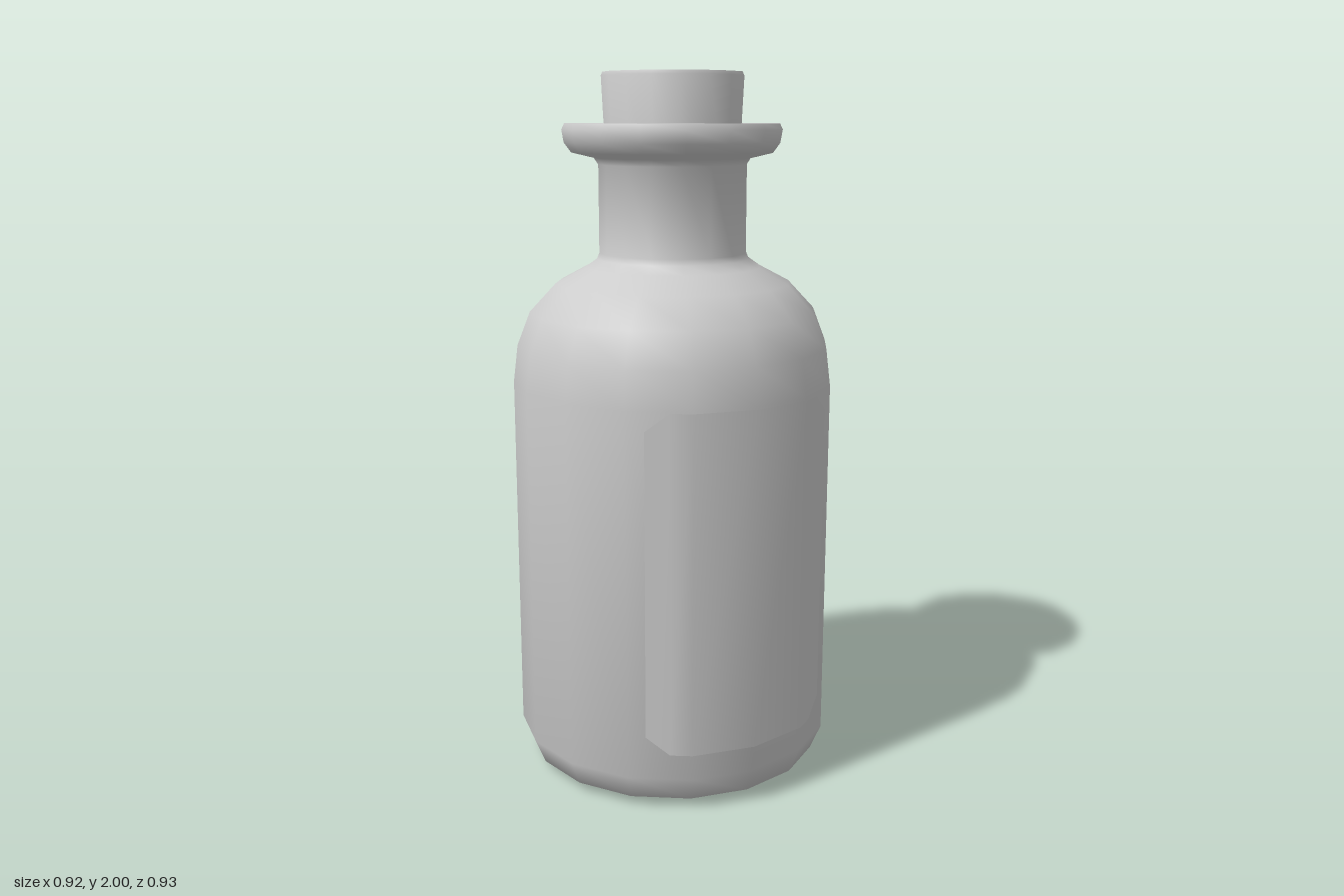
import * as THREE from 'three';
import { toCreasedNormals } from 'three/addons/utils/BufferGeometryUtils.js';

const SIDES = 16;

function lathe(name, profile, material) {
  const points = profile.map(([r, y]) => new THREE.Vector2(r, y));
  const mesh = new THREE.Mesh(toCreasedNormals(new THREE.LatheGeometry(points, SIDES), 0.9), material);
  mesh.name = name;
  return mesh;
}

// Thin sheet wrapped round the faceted front of the body, with clipped corners
function labelGeometry(bottom, top, clip) {
  const columns = [[-0.285, 0.358], [-0.23, 0.396], [-0.178, 0.43], [0, 0.465],
    [0.178, 0.43], [0.23, 0.396], [0.285, 0.358]];
  const positions = [], index = [];
  columns.forEach(([x, z], i) => {
    const inset = i === 0 || i === columns.length - 1 ? clip : 0;
    positions.push(x, bottom + inset, z, x, top - inset, z);
    if (i > 0) {
      const a = 2 * (i - 1);
      index.push(a, a + 2, a + 3, a, a + 3, a + 1);
    }
  });
  const geometry = new THREE.BufferGeometry();
  geometry.setAttribute('position', new THREE.Float32BufferAttribute(positions, 3));
  geometry.setIndex(index);
  geometry.computeVertexNormals();
  return geometry;
}

export function createModel() {
  const model = new THREE.Group();
  model.name = 'corkedBottle';
  const grey = new THREE.MeshStandardMaterial({ color: 0xcccccc });
  const thin = new THREE.MeshStandardMaterial({ color: 0xcccccc, side: THREE.DoubleSide });

  // Bottle: hollowed base, straight body, rounded shoulder, neck, flared lip and mouth
  model.add(lathe('bottle', [
    [0, 0.13], [0.17, 0.12], [0.28, 0.075], [0.325, 0.02], [0.36, 0],
    [0.43, 0.028], [0.46, 0.1], [0.46, 1.14], [0.447, 1.245], [0.41, 1.34],
    [0.335, 1.42], [0.25, 1.465], [0.217, 1.488], [0.21, 1.505],
    [0.21, 1.75], [0.222, 1.768], [0.285, 1.783], [0.305, 1.81],
    [0.311, 1.845], [0.303, 1.862], [0.2, 1.862], [0.195, 1.7],
  ], thin));

  // Cork, tapering into the mouth
  model.add(lathe('cork', [
    [0, 1.68], [0.185, 1.68], [0.2, 1.99], [0.196, 2], [0, 2],
  ], grey));

  // Front label
  const label = new THREE.Mesh(labelGeometry(0.175, 1.135, 0.05), thin);
  label.name = 'label';
  model.add(label);

  return model;
}
